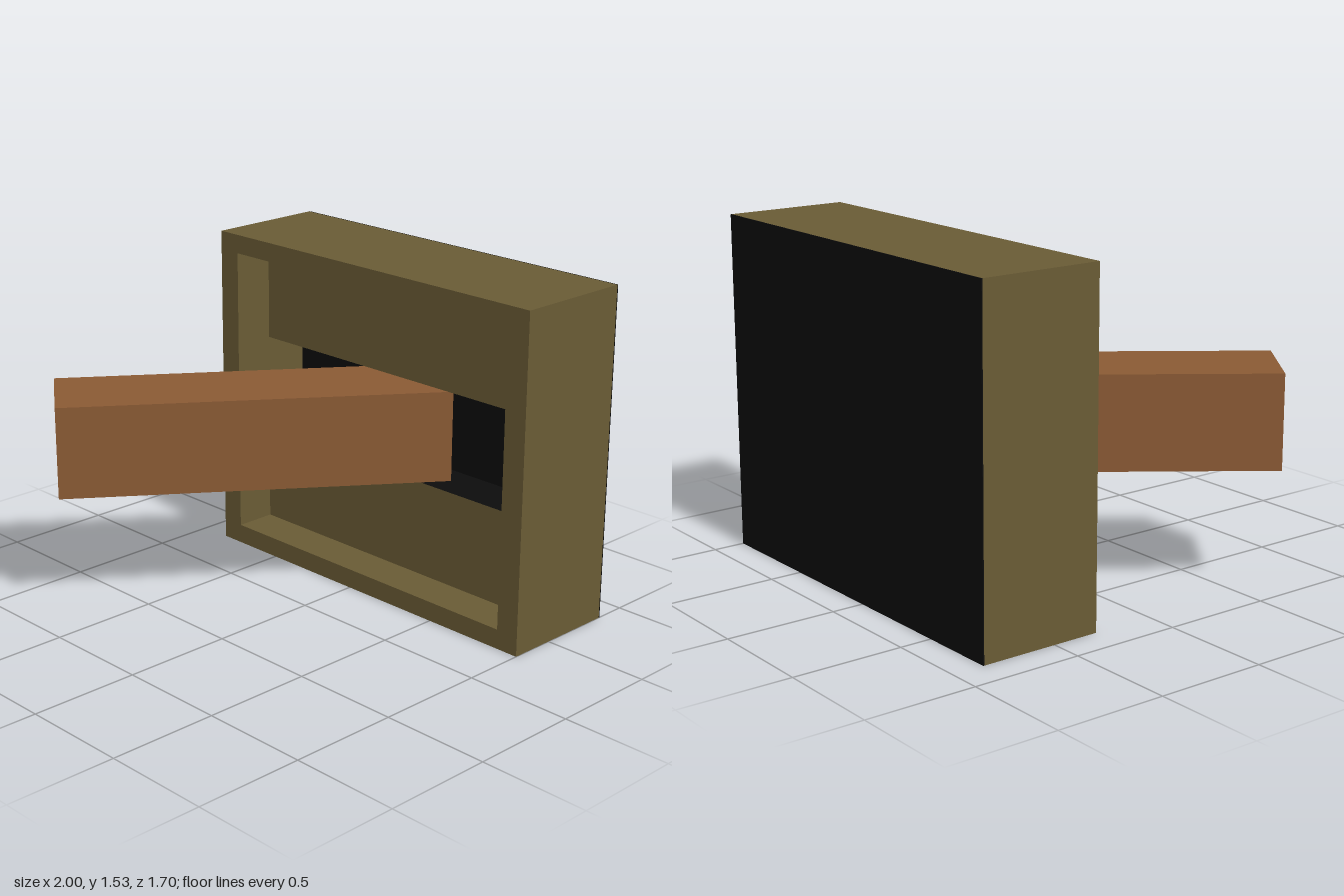
import * as THREE from 'three';

export function createModel() {
  const model = new THREE.Group();
  const material = (name, color) => {
    const m = new THREE.MeshStandardMaterial({ color });
    m.name = name;
    return m;
  };
  const olive = material('olive', 0x695b35);
  const brown = material('brown', 0x8a5a34);
  const black = material('black', 0x0c0c0c);

  const add = (name, geometry, mat) => {
    const mesh = new THREE.Mesh(geometry, mat);
    mesh.name = name;
    model.add(mesh);
    return mesh;
  };
  // Box given by its lower and upper corners
  const addBox = (name, [x0, y0, z0], [x1, y1, z1], mat) => {
    const mesh = add(name, new THREE.BoxGeometry(x1 - x0, y1 - y0, z1 - z0), mat);
    mesh.position.set((x0 + x1) / 2, (y0 + y1) / 2, (z0 + z1) / 2);
    return mesh;
  };
  const rectangle = (path, x0, y0, x1, y1) =>
    path.moveTo(x0, y0).lineTo(x1, y0).lineTo(x1, y1).lineTo(x0, y1).closePath();

  const outer = { left: -0.855, right: 1, top: 1.53, back: -0.855, front: -0.285 };
  const inner = { left: -0.745, right: 0.89, bottom: 0.09, top: 1.443 };
  const slot = { bottom: 0.535, top: 1.0, back: -0.7 };
  const panelFront = -0.48;

  // Surrounding frame with a rectangular opening
  const shape = rectangle(new THREE.Shape(), outer.left, 0, outer.right, outer.top);
  shape.holes.push(rectangle(new THREE.Path(), inner.left, inner.bottom, inner.right, inner.top));
  const depth = outer.front - outer.back - 0.005;
  const frame = add('frame', new THREE.ExtrudeGeometry(shape, { depth, bevelEnabled: false }), olive);
  frame.position.z = outer.back + 0.005;

  // Black rear face and the dark back of the slot
  addBox('rearPlate', [outer.left, 0, outer.back], [outer.right, outer.top, outer.back + 0.005], black);
  addBox('slotBack', [inner.left, slot.bottom, slot.back - 0.005], [inner.right, slot.top, slot.back], black);

  // Recessed panels above and below the slot, black on the side facing it
  // (face order: right, left, top, bottom, front, back)
  addBox('lowerPanel', [inner.left, inner.bottom, slot.back - 0.005], [inner.right, slot.bottom, panelFront],
    [olive, olive, black, olive, olive, black]);
  addBox('upperPanel', [inner.left, slot.top, slot.back - 0.005], [inner.right, inner.top, panelFront],
    [olive, olive, olive, black, olive, black]);

  // Slanted lever passing into the slot
  const lever = add('lever', new THREE.BoxGeometry(0.418, 0.42, 1.74), brown);
  lever.position.set(-0.315, 0.767, 0.026);
  lever.rotation.y = -0.637;

  return model;
}
